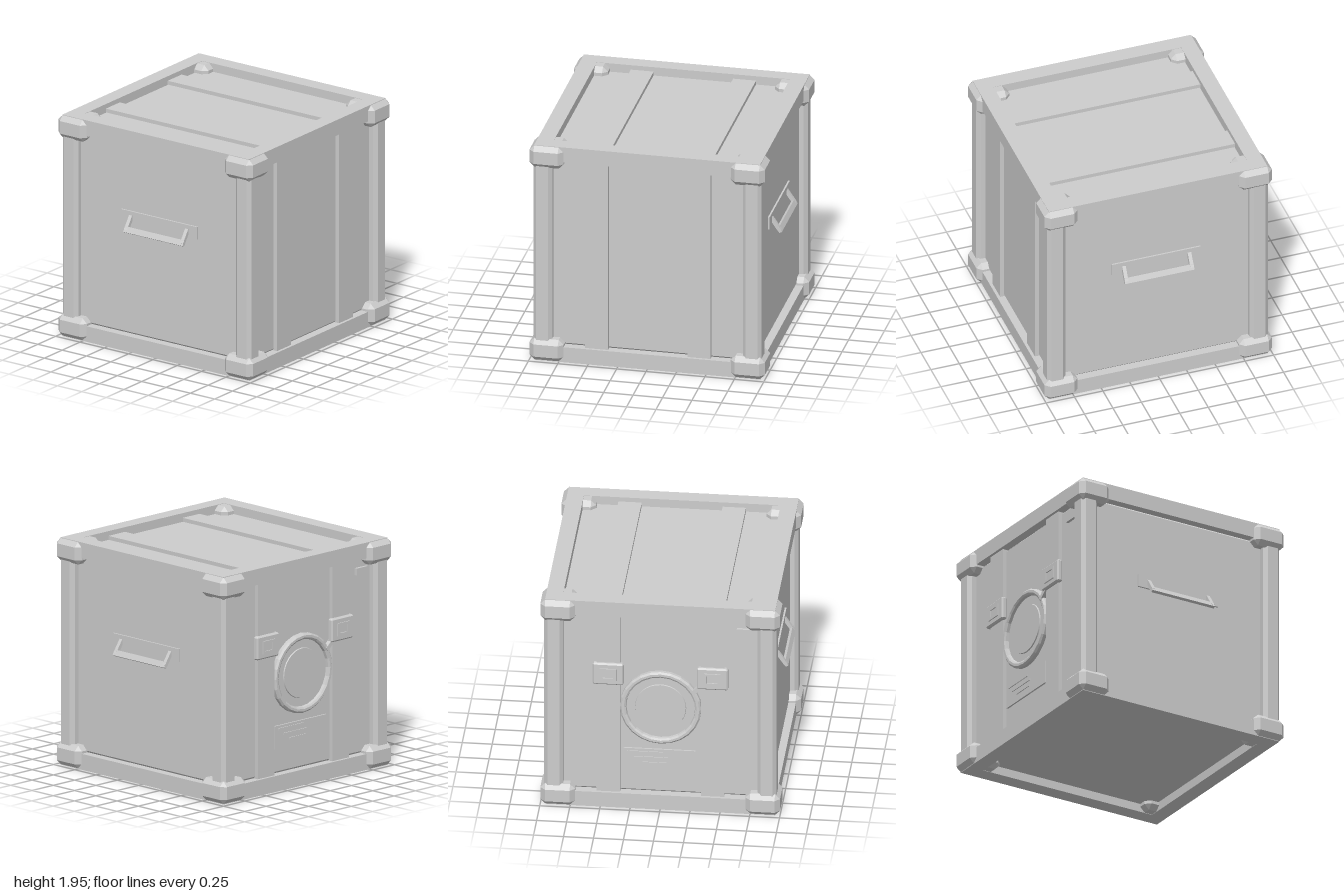
import * as THREE from 'three';
import { ConvexGeometry } from 'three/addons/geometries/ConvexGeometry.js';

const grey = new THREE.MeshStandardMaterial({ color: 0xcccccc });
grey.name = 'plain grey';

// Box with every edge cut off by c
function chamferBox(w, h, d, c) {
  const points = [];
  for (const x of [-1, 1]) for (const y of [-1, 1]) for (const z of [-1, 1]) {
    const X = w / 2, Y = h / 2, Z = d / 2;
    points.push(
      new THREE.Vector3(x * X, y * (Y - c), z * (Z - c)),
      new THREE.Vector3(x * (X - c), y * Y, z * (Z - c)),
      new THREE.Vector3(x * (X - c), y * (Y - c), z * Z));
  }
  return new ConvexGeometry(points);
}

export function createModel() {
  const model = new THREE.Group();
  model.name = 'crate';

  function add(name, geometry, x, y, z, parent = model) {
    const mesh = new THREE.Mesh(geometry, grey);
    mesh.name = name;
    mesh.position.set(x, y, z);
    parent.add(mesh);
    return mesh;
  }
  const box = (w, h, d) => new THREE.BoxGeometry(w, h, d);

  // Bevelled inner body
  add('body', chamferBox(1.8, 1.8, 1.8, 0.08), 0, 0.972, 0);

  // Frame: beams, posts and corner guards
  const post = chamferBox(0.16, 1.7, 0.16, 0.03);
  const guard = chamferBox(0.29, 0.194, 0.29, 0.042);
  for (const s of [-1, 1]) {
    for (const y of [0.068, 1.877]) {
      add('crossBeam', box(1.92, 0.136, 0.135), 0, y, s * 0.8925);
      add('sideBeam', box(0.14, 0.136, 1.65), s * 0.89, y, 0);
    }
    for (const t of [-1, 1]) {
      add('post', post, s * 0.89, 0.972, t * 0.89);
      add('lowerCornerGuard', guard, s * 0.855, 0.1, t * 0.855);
      add('upperCornerGuard', guard, s * 0.855, 1.845, t * 0.855);
    }
  }

  // Straps over the front, top and back
  for (const s of [-1, 1]) {
    const x = s * 0.435;
    add('topStrap', box(0.195, 0.05, 1.66), x, 1.88, 0);
    add('frontStrap', box(0.195, 1.68, 0.05), x, 0.975, 0.91);
    add('backStrap', box(0.195, 1.68, 0.05), x, 0.975, -0.91);

    // Latch on each back strap
    add('latchPlate', chamferBox(0.26, 0.2, 0.05, 0.012), x, 1.26, -0.937);
    const rim = new THREE.Shape();
    rim.moveTo(-0.07, -0.055).lineTo(0.07, -0.055).lineTo(0.07, 0.055).lineTo(-0.07, 0.055);
    const gap = new THREE.Path();
    gap.moveTo(-0.045, -0.032).lineTo(-0.045, 0.032).lineTo(0.045, 0.032).lineTo(0.045, -0.032);
    rim.holes.push(gap);
    add('latchBuckle', new THREE.ExtrudeGeometry(rim, { depth: 0.02, bevelEnabled: false }), x, 1.26, -0.972);
  }

  // Side handles
  for (const s of [-1, 1]) {
    const handle = new THREE.Group();
    handle.name = 'handle';
    handle.rotation.y = s > 0 ? 0 : Math.PI;
    model.add(handle);
    add('handlePlate', box(0.03, 0.11, 0.78), 0.9, 1.165, 0, handle);
    const bar = add('handleBar', box(0.025, 0.05, 0.61), 0.978, 1.077, 0, handle);
    bar.rotation.z = 0.5;
    for (const t of [-1, 1]) {
      const leg = add('handleLeg', box(0.03, 0.13, 0.032), 0.944, 1.125, t * 0.288, handle);
      leg.rotation.z = 0.6;
    }
  }

  // Round hatch on the back
  const rimProfile = [[0.285, 0], [0.29, 0.035], [0.305, 0.045], [0.325, 0.045], [0.34, 0.03], [0.34, 0]]
    .map(([r, h]) => new THREE.Vector2(r, h)).reverse();
  const ringGeometry = new THREE.LatheGeometry(rimProfile, 24).toNonIndexed();
  ringGeometry.computeVertexNormals();
  const hatch = new THREE.Group();
  hatch.name = 'hatch';
  hatch.position.set(0, 0.95, -0.9);
  hatch.rotation.x = -Math.PI / 2;
  model.add(hatch);
  const ring = add('hatchRing', ringGeometry, 0, 0, 0, hatch);
  ring.material = grey.clone();
  ring.material.side = THREE.DoubleSide;
  add('hatchPanel', new THREE.CylinderGeometry(0.29, 0.29, 0.02, 32), 0, 0, 0, hatch);
  add('hatchDisc', new THREE.CylinderGeometry(0.21, 0.22, 0.03, 32), 0, 0.005, 0, hatch);
  const hinge = add('hatchCatch', box(0.1, 0.035, 0.04), -0.3, 1.14, -0.93);
  hinge.rotation.z = -0.7;

  // Raised label plate with bars, and a small block
  add('labelPlate', box(0.6, 0.2, 0.02), 0.01, 0.445, -0.905);
  const bars = [[0.13, 0.515, 0.3], [0.08, 0.465, 0.28], [0.05, 0.415, 0.2]];
  for (const [x, y, w] of bars) add('labelBar', box(w, 0.016, 0.009), x, y, -0.918);
  add('smallBlock', box(0.13, 0.06, 0.03), -0.7, 1.7, -0.91);

  return model;
}
